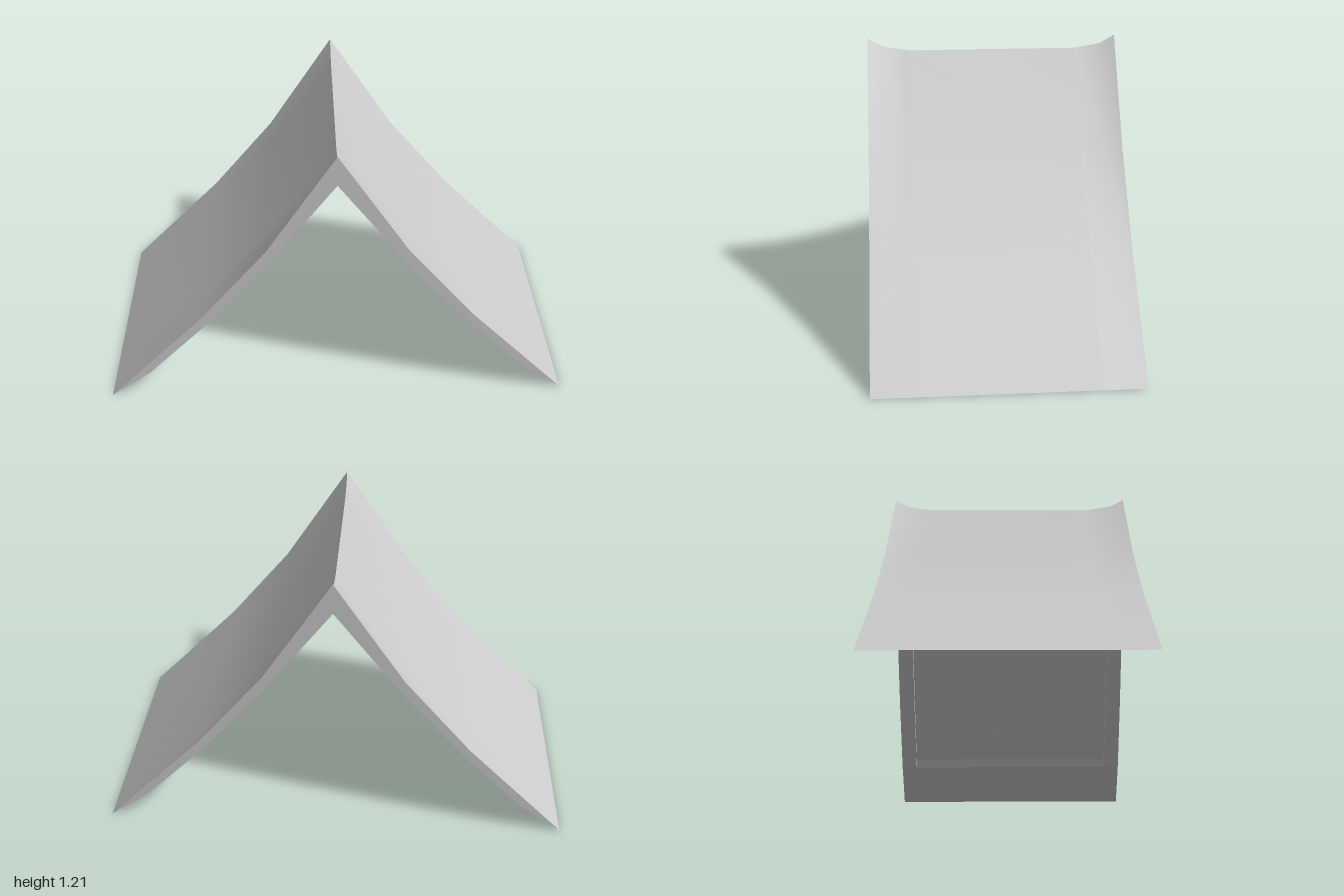
import * as THREE from 'three';

const D = 0.547; // half depth
const INSET = 0.475; // half depth of the recessed ceiling

// Slope profiles from ridge to eave: [x, y]
const OUTER = [[0, 1.212], [0.295, 0.765], [0.58, 0.425], [1, 0]];
const INNER = [[0, 1.08], [0.295, 0.695], [0.575, 0.375], [0.82, 0.13]];
const CEILING = [[0, 1.13], [0.295, 0.73], [0.575, 0.405], [0.805, 0.165]];
const EAVE = [[0.82, 0.13], [1, 0]];

// The roof sags between its ends: amount per profile point, share per depth
const SAG = [0.056, 0.02, 0.005, 0];
const SAG_AT = [[-D, 0], [-0.48, 0.66], [-0.37, 1], [0.37, 1], [0.48, 0.66], [D, 0]];

// Surface through rows of [x, y, z] points, all of equal length
function loft(rows, flip) {
  const n = rows[0].length, idx = [];
  for (let i = 0; i < rows.length - 1; i++) {
    for (let j = 0; j < n - 1; j++) {
      const a = i * n + j, b = a + 1, c = a + n, d = c + 1;
      if (flip) idx.push(a, c, b, b, c, d);
      else idx.push(a, b, c, b, d, c);
    }
  }
  const g = new THREE.BufferGeometry();
  g.setAttribute('position', new THREE.Float32BufferAttribute(rows.flat(2), 3));
  g.setIndex(idx);
  g.computeVertexNormals();
  return g;
}

export function createModel() {
  const group = new THREE.Group();
  const material = new THREE.MeshStandardMaterial({ color: 0xcccccc });
  const add = (name, geometry) => {
    const mesh = new THREE.Mesh(geometry, material);
    mesh.name = name;
    group.add(mesh);
    return mesh;
  };

  for (const side of [1, -1]) {
    const label = side > 0 ? 'left' : 'right';
    const mirrored = side < 0;
    // Straight strip along z from a profile
    const strip = (profile, z0, z1, flip) =>
      loft(profile.map(([x, y]) => [[side * x, y, z0], [side * x, y, z1]]), flip);

    // Sagging top surface
    const roofRows = OUTER.map(([x, y], i) =>
      SAG_AT.map(([z, share]) => [side * x, y - SAG[i] * share, z]));
    add(`${label}RoofSlope`, loft(roofRows, mirrored));

    // Underside: recessed ceiling, rims and eave
    add(`${label}Ceiling`, strip(CEILING, -INSET, INSET, !mirrored));
    add(`${label}BackRim`, strip(INNER, -D, -INSET, !mirrored));
    add(`${label}FrontRim`, strip(INNER, INSET, D, !mirrored));
    add(`${label}EaveUnderside`, strip(EAVE, -D, D, !mirrored));

    // Walls of the recess
    add(`${label}RecessEaveWall`, strip([INNER[3], CEILING[3]], -INSET, INSET, mirrored));
    for (const end of [1, -1]) {
      const rows = INNER.map(([x, y], i) =>
        [[side * x, y, end * INSET], [side * CEILING[i][0], CEILING[i][1], end * INSET]]);
      add(`${label}${end > 0 ? 'Front' : 'Back'}RecessWall`, loft(rows, side * end < 0));
    }
  }

  // Gable ends: the chevron between the top and bottom profiles
  const mirror = (pts) => pts.slice(1).reverse().map(([x, y]) => [-x, y]);
  const outline = [
    ...mirror(OUTER), ...OUTER,
    ...INNER.slice().reverse(), ...mirror(INNER).reverse(),
  ].map(([x, y]) => new THREE.Vector2(x, y));
  const gable = new THREE.ShapeGeometry(new THREE.Shape(outline));
  add('frontGable', gable).position.z = D;
  const back = add('backGable', gable);
  back.position.z = -D;
  back.rotation.y = Math.PI;

  return group;
}
